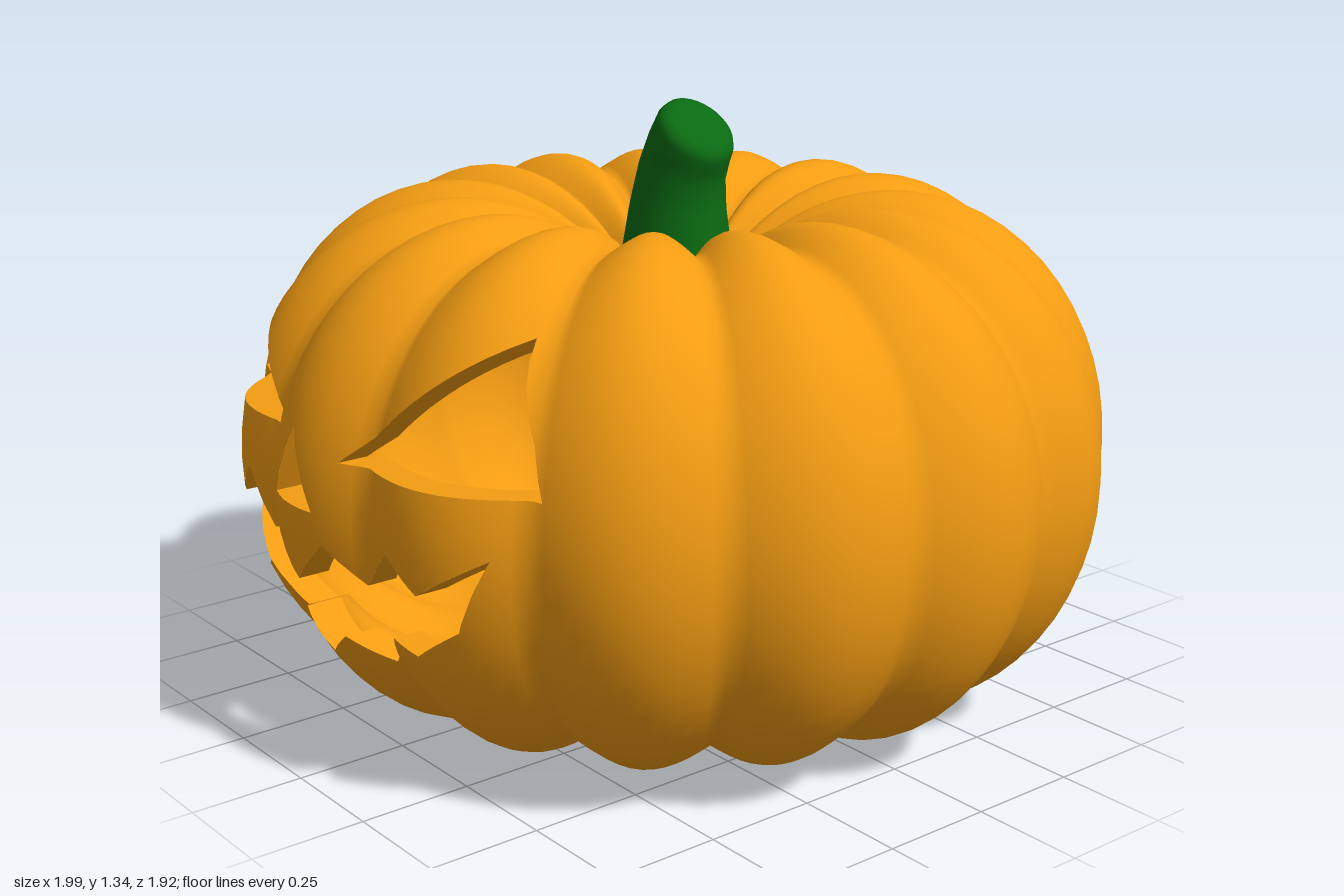
import * as THREE from 'three';
import { mergeGeometries } from 'three/addons/utils/BufferGeometryUtils.js';

const LOBES = 15, COLS = LOBES * 12, ROWS = 44;
const FIRST_GROOVE = THREE.MathUtils.degToRad(9);
const CORE = 0.5, MID = 0.565;

// Face openings, drawn in the x-y plane
const OPENINGS = {
  rightEye: [[-0.54, 0.98], [-0.67, 0.7], [-0.21, 0.7]],
  leftEye: [[0.4, 0.98], [0.08, 0.7], [0.54, 0.7]],
  nose: [[-0.07, 0.745], [-0.15, 0.585], [0.02, 0.585]],
  mouth: [
    [-0.6, 0.58], [-0.46, 0.485], [-0.37, 0.575], [-0.275, 0.455], [-0.18, 0.51], [-0.065, 0.415],
    [0.045, 0.52], [0.14, 0.45], [0.24, 0.55], [0.325, 0.485], [0.47, 0.58],
    [0.405, 0.42], [0.28, 0.335], [0.19, 0.345], [0.125, 0.26], [0.035, 0.305], [-0.05, 0.24],
    [-0.165, 0.305], [-0.27, 0.26], [-0.365, 0.345], [-0.435, 0.305], [-0.54, 0.42],
  ],
};

// Surface from a ring of point rows; each row wraps around
function loft(rows, inward = false) {
  const n = rows[0].length, index = [];
  for (let j = 0; j < rows.length - 1; j++) {
    for (let i = 0; i < n; i++) {
      const k = (i + 1) % n;
      const a = j * n + i, b = j * n + k, c = b + n, d = a + n;
      index.push(...(inward ? [a, c, b, a, d, c] : [a, b, c, a, c, d]));
    }
  }
  const g = new THREE.BufferGeometry();
  g.setAttribute('position', new THREE.Float32BufferAttribute(rows.flat(2), 3));
  g.setIndex(index);
  g.computeVertexNormals();
  return g;
}

// Ribbed pumpkin skin: an elliptical tube swept around y, pinched at the grooves
function skin(scale, inward) {
  const rows = [];
  for (let j = -1; j <= ROWS + 1; j++) {
    const t = THREE.MathUtils.clamp(j / ROWS, 0, 1);
    const a = THREE.MathUtils.lerp(-2.5, 2.5, t);
    const cap = j < 0 || j > ROWS;
    const row = [];
    for (let i = 0; i < COLS; i++) {
      const u = i / COLS, phi = FIRST_GROOVE + u * Math.PI * 2;
      const s = scale * (1 - 0.095 * (1 - Math.abs(Math.sin(u * LOBES * Math.PI))));
      const r = cap ? 0 : CORE + 0.5 * s * Math.cos(a);
      row.push([r * Math.sin(phi), MID + MID * s * Math.sin(a), 0.965 * r * Math.cos(phi)]);
    }
    rows.push(row);
  }
  return loft(rows, inward);
}

// Splits a convex polygon by the line p-q; points carry position and normal
function split(poly, p, q) {
  const inside = [], outside = [];
  const side = v => (q[0] - p[0]) * (v[1] - p[1]) - (q[1] - p[1]) * (v[0] - p[0]);
  poly.forEach((v, i) => {
    const w = poly[(i + 1) % poly.length], sv = side(v), sw = side(w);
    (sv >= 0 ? inside : outside).push(v);
    if ((sv >= 0) !== (sw >= 0)) {
      const t = sv / (sv - sw), m = v.map((c, k) => c + (w[k] - c) * t);
      inside.push(m);
      outside.push(m);
    }
  });
  return [inside, outside];
}

// Removes a triangle from a convex polygon, giving the convex pieces left
function subtract(poly, tri) {
  for (const k of [0, 1]) {
    const p = poly.map(v => v[k]), c = tri.map(v => v[k]);
    if (Math.max(...p) <= Math.min(...c) || Math.min(...p) >= Math.max(...c)) return [poly];
  }
  const pieces = [];
  let rest = poly;
  for (let e = 0; e < 3; e++) {
    const [inside, outside] = split(rest, tri[e], tri[(e + 1) % 3]);
    if (outside.length > 2) pieces.push(outside);
    if (inside.length < 3) return [poly];
    rest = inside;
  }
  return pieces;
}

// Triangles covering every opening, all counter-clockwise
function cutters() {
  return Object.values(OPENINGS).flatMap(outline => {
    const pts = outline.map(p => new THREE.Vector2(...p));
    return THREE.ShapeUtils.triangulateShape(pts, []).map(f => {
      const tri = f.map(i => pts[i]);
      if (THREE.ShapeUtils.area(tri) < 0) tri.reverse();
      return tri.map(p => [p.x, p.y]);
    });
  });
}

// Cuts the openings through the front half of a skin
function carve(geometry, tris) {
  const P = geometry.attributes.position, N = geometry.attributes.normal, idx = geometry.index;
  const pos = [], nor = [];
  for (let f = 0; f < idx.count; f += 3) {
    const tri = [0, 1, 2].map(k => {
      const i = idx.getX(f + k);
      return [P.getX(i), P.getY(i), P.getZ(i), N.getX(i), N.getY(i), N.getZ(i)];
    });
    let polys = [tri];
    if (tri.every(v => v[2] > 0.3)) {
      for (const c of tris) polys = polys.flatMap(p => subtract(p, c));
    }
    for (const p of polys) {
      for (let k = 1; k < p.length - 1; k++) {
        for (const v of [p[0], p[k], p[k + 1]]) {
          pos.push(v[0], v[1], v[2]);
          nor.push(v[3], v[4], v[5]);
        }
      }
    }
  }
  const g = new THREE.BufferGeometry();
  g.setAttribute('position', new THREE.Float32BufferAttribute(pos, 3));
  g.setAttribute('normal', new THREE.Float32BufferAttribute(nor, 3));
  return g;
}

// Flesh walls joining outer and inner skin along one outline
function cutWalls(outline, outer, inner) {
  const both = new THREE.MeshBasicMaterial({ side: THREE.DoubleSide });
  const skins = [outer, inner].map(g => new THREE.Mesh(g, both));
  const ray = new THREE.Raycaster();
  const drop = (x, y) => skins.map(m => {
    ray.set(new THREE.Vector3(x + 1e-5, y + 1e-5, 3), new THREE.Vector3(0, 0, -1));
    return [x, y, ray.intersectObject(m)[0].point.z];
  });
  const strips = outline.map((p, e) => {
    const q = outline[(e + 1) % outline.length];
    const steps = Math.ceil(Math.hypot(q[0] - p[0], q[1] - p[1]) / 0.025);
    const pos = [];
    let last = drop(...p);
    for (let i = 1; i <= steps; i++) {
      const t = i / steps;
      const next = drop(p[0] + (q[0] - p[0]) * t, p[1] + (q[1] - p[1]) * t);
      pos.push(last[0], last[1], next[1], last[0], next[1], next[0]);
      last = next;
    }
    const g = new THREE.BufferGeometry();
    g.setAttribute('position', new THREE.Float32BufferAttribute(pos.flat(), 3));
    g.computeVertexNormals();
    return g;
  });
  return mergeGeometries(strips);
}

// Bent stem: rings of [centre x, centre y, radius, tilt], rounded off at the end
function stemGeometry() {
  const rings = [
    [0.015, 0.86, 0.15, 0], [0.015, 0.98, 0.132, 0], [0.02, 1.1, 0.113, 0.05], [0.035, 1.18, 0.102, 0.25],
    [0.06, 1.235, 0.098, 0.48], [0.08, 1.268, 0.096, 0.64], [0.09, 1.282, 0.088, 0.67],
    [0.095, 1.289, 0.07, 0.67], [0.098, 1.292, 0.035, 0.67], [0.098, 1.292, 0, 0.67],
  ];
  return loft(rings.map(([x, y, r, tilt]) => Array.from({ length: 32 }, (_, i) => {
    const a = i / 32 * Math.PI * 2, w = r * Math.sin(a);
    return [x + w * Math.cos(tilt), y - w * Math.sin(tilt), 0.92 * r * Math.cos(a)];
  })));
}

export function createModel() {
  const model = new THREE.Group();
  const orange = new THREE.MeshStandardMaterial({ color: 0xf39c12 });
  const flesh = new THREE.MeshStandardMaterial({ color: 0xf39c12, side: THREE.DoubleSide });
  const green = new THREE.MeshStandardMaterial({ color: 0x0b6a12 });
  const add = (name, geometry, material) => {
    const mesh = new THREE.Mesh(geometry, material);
    mesh.name = name;
    model.add(mesh);
  };

  const outer = skin(1, false), inner = skin(0.86, true), tris = cutters();
  add('outerSkin', carve(outer, tris), orange);
  add('innerSkin', carve(inner, tris), orange);
  for (const [name, outline] of Object.entries(OPENINGS)) {
    add(name + 'CutWalls', cutWalls(outline, outer, inner), flesh);
  }
  add('stem', stemGeometry(), green);
  return model;
}
